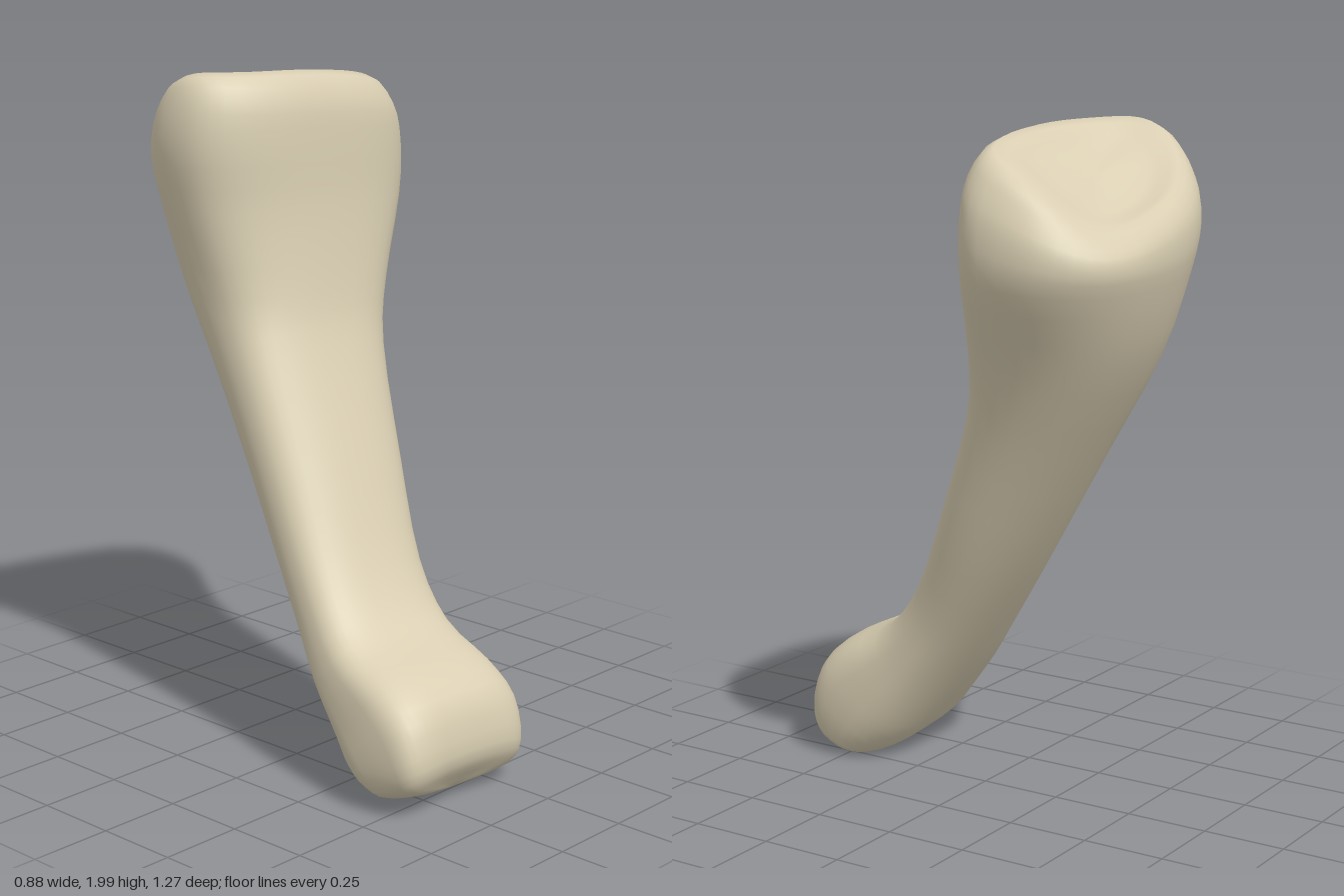
import * as THREE from 'three';
import { mergeVertices } from 'three/addons/utils/BufferGeometryUtils.js';

// Cross-sections from the upper joint to the lower joint:
// front y, front z, back y, back z, min x, max x, squareness, sideways tilt
const SECTIONS = [
  [1.86, -0.39, 1.86, -0.39, 0.02, 0.02, 2.2, -0.25], // dished joint face
  [1.92, -0.29, 1.79, -0.51, -0.18, 0.21, 2.3, -0.27],
  [1.99, -0.205, 1.78, -0.585, -0.31, 0.35, 2.4, -0.3], // rim
  [1.91, -0.145, 1.73, -0.632, -0.365, 0.41, 2.5, -0.27],
  [1.78, -0.13, 1.665, -0.645, -0.38, 0.437, 2.5, -0.16],
  [1.6, -0.12, 1.57, -0.63, -0.35, 0.425, 2.4, -0.05],
  [1.36, -0.088, 1.34, -0.54, -0.31, 0.32, 2.4, 0],
  [1.2, -0.045, 1.02, -0.345, -0.315, 0.24, 2.3, 0], // shaft
  [0.9, 0.085, 0.7, -0.14, -0.335, 0.165, 2.3, 0],
  [0.62, 0.215, 0.44, 0.04, -0.365, 0.095, 2.5, 0],
  [0.46, 0.335, 0.28, 0.155, -0.4, 0.08, 2.8, 0],
  [0.385, 0.49, 0.14, 0.26, -0.425, 0.085, 3.2, -0.05], // lower joint
  [0.3, 0.605, 0.075, 0.315, -0.442, 0.085, 3.3, -0.08],
  [0.17, 0.65, 0.032, 0.375, -0.435, 0.07, 3.2, -0.1],
  [0.085, 0.61, 0.012, 0.44, -0.38, 0.03, 3, -0.1],
  [0.035, 0.53, 0.035, 0.53, -0.17, -0.17, 3, -0.1],
];
const SEGMENTS = 40, STEPS = 3;
const SKEW = 0.06; // the left half of the front sits further forward
const { lerp, smoothstep } = THREE.MathUtils;

// Smoothly blended section at a fractional index
function sectionAt(t) {
  const last = SECTIONS.length - 1;
  const i = Math.min(Math.floor(t), last - 1), f = t - i;
  const row = k => SECTIONS[Math.max(0, Math.min(last, k))];
  return row(i).map((b, c) => {
    const a = row(i - 1)[c], d = row(i + 1)[c], e = row(i + 2)[c];
    const m0 = (d - a) / 2, m1 = (e - b) / 2;
    return b + f * m0 + f * f * (3 * (d - b) - 2 * m0 - m1) + f * f * f * (2 * (b - d) + m0 + m1);
  });
}

function loftBone() {
  const positions = [], index = [];
  const rings = (SECTIONS.length - 1) * STEPS;
  const curve = (s, n) => Math.sign(s) * Math.pow(Math.abs(s), 2 / n);
  for (let r = 0; r <= rings; r++) {
    const t = r / STEPS;
    const [yF, zF, yB, zB, x0, x1, square, tilt] = sectionAt(t);
    const cx = (x0 + x1) / 2, rx = (x1 - x0) / 2;
    const groove = smoothstep(t, 11, 13) * 0.04;
    // the left side is boxier at the top and rounder at the bottom
    const bias = lerp(0.17, -0.2, r / rings);
    // the upper bone is widest ahead of its middle
    const ahead = 0.3 * (1 - smoothstep(t, 6.5, 9));
    // the sides of the joint face are raised
    const saddle = 0.12 * (1 - smoothstep(t, 2.5, 5)) * Math.min(1, rx / 0.3);
    for (let j = 0; j < SEGMENTS; j++) {
      const a = (j / SEGMENTS) * Math.PI * 2;
      const n = square * (1 + bias * Math.sign(Math.cos(a)));
      const u = curve(Math.cos(a), n);
      const even = (1 - curve(Math.sin(a), n)) / 2;
      const v = even - ahead * even * (1 - even);
      const side = cx + rx * u - cx;
      // shallow groove between the two lower knuckles
      const dip = groove * (1 - u * u) * (1 - v) * Math.min(1, rx / 0.2);
      positions.push(
        cx + side,
        lerp(yF, yB, v) + tilt * side * lerp(0.25, 1, v) + saddle * u * u * v * (1 - v),
        lerp(zF, zB, v) - dip + SKEW * side * (1 - v));
      if (r < rings) {
        const k = (j + 1) % SEGMENTS, p = r * SEGMENTS, q = p + SEGMENTS;
        index.push(p + j, p + k, q + j, p + k, q + k, q + j);
      }
    }
  }
  let geometry = new THREE.BufferGeometry();
  geometry.setAttribute('position', new THREE.Float32BufferAttribute(positions, 3));
  geometry.setIndex(index);
  geometry = mergeVertices(geometry, 1e-4);
  // stand on the ground, centred
  geometry.computeBoundingBox();
  const { min, max } = geometry.boundingBox;
  geometry.translate(-(min.x + max.x) / 2, -min.y, -(min.z + max.z) / 2);
  geometry.computeVertexNormals();
  return geometry;
}

export function createModel() {
  const group = new THREE.Group();
  group.name = 'bone';
  const material = new THREE.MeshStandardMaterial({ color: 0xd9ceb2 });
  material.name = 'ivory';
  const bone = new THREE.Mesh(loftBone(), material);
  bone.name = 'boneShaftAndJoints';
  group.add(bone);
  return group;
}
